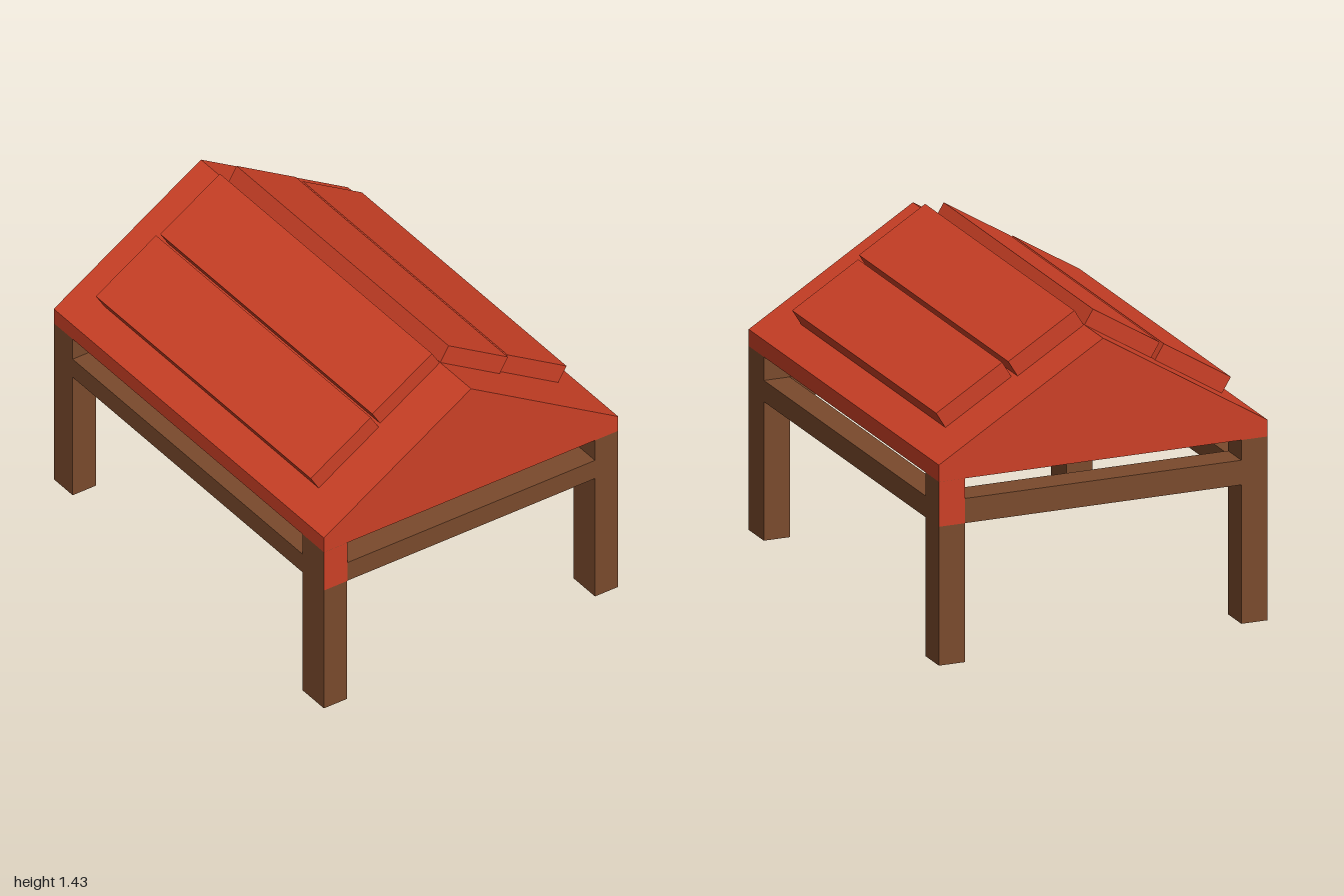
import * as THREE from 'three';

const HALF_W = 0.76, POST_W = 0.12;
const BEAM_Y = 0.62, ROOF_Y = 0.82, EAVE_Y = 0.895, RIDGE_Y = 1.36;

export function createModel() {
  const group = new THREE.Group();
  const wood = new THREE.MeshStandardMaterial({ color: 0x7a4a2c, flatShading: true });
  const red = new THREE.MeshStandardMaterial({ color: 0xcc4026, flatShading: true });

  // Box given by its extents on each axis
  function box(name, material, [x0, x1], [y0, y1], [z0, z1]) {
    const mesh = new THREE.Mesh(new THREE.BoxGeometry(x1 - x0, y1 - y0, z1 - z0), material);
    mesh.position.set((x0 + x1) / 2, (y0 + y1) / 2, (z0 + z1) / 2);
    mesh.name = name;
    group.add(mesh);
    return mesh;
  }

  // Posts and side beams, flush with the outer faces
  const frontZ = [0.84, 1], backZ = [-1, -0.86];
  const inner = HALF_W - POST_W;
  for (const [side, x] of [['left', [inner, HALF_W]], ['right', [-HALF_W, -inner]]]) {
    box(side + 'FrontPost', wood, x, [0, ROOF_Y], frontZ);
    box(side + 'BackPost', wood, x, [0, ROOF_Y], backZ);
    box(side + 'Beam', wood, x, [BEAM_Y, 0.715], [backZ[1], frontZ[0]]);
  }

  // Cross beams; the back one is slightly taller
  box('frontBeam', wood, [-inner, inner], [BEAM_Y, 0.715], frontZ);
  box('backBeam', wood, [-inner, inner], [BEAM_Y, 0.73], backZ);

  // Painted upper faces on two opposite posts
  const paint = new THREE.PlaneGeometry(POST_W, ROOF_Y - BEAM_Y);
  for (const end of [1, -1]) {
    const panel = new THREE.Mesh(paint, red);
    panel.name = end > 0 ? 'frontPostPaint' : 'backPostPaint';
    panel.position.set(-end * (HALF_W - POST_W / 2), (BEAM_Y + ROOF_Y) / 2, end * 1.001);
    panel.rotation.y = end > 0 ? 0 : Math.PI;
    group.add(panel);
  }

  // Solid gabled roof
  const profile = new THREE.Shape([
    new THREE.Vector2(-HALF_W, ROOF_Y),
    new THREE.Vector2(HALF_W, ROOF_Y),
    new THREE.Vector2(HALF_W, EAVE_Y),
    new THREE.Vector2(0, RIDGE_Y),
    new THREE.Vector2(-HALF_W, EAVE_Y),
  ]);
  const roofGeometry = new THREE.ExtrudeGeometry(profile, { depth: 2, bevelEnabled: false });
  roofGeometry.translate(0, 0, -1);
  const roof = new THREE.Mesh(roofGeometry, red);
  roof.name = 'roof';
  group.add(roof);

  // Roof slabs: side, distance range down the slope, thickness, z range
  const slope = Math.atan2(RIDGE_Y - EAVE_Y, HALF_W);
  const slabs = [
    ['leftUpperSlab', 1, 0.002, 0.361, 0.082, -0.80, 0.77],
    ['leftLowerSlab', 1, 0.379, 0.737, 0.081, -0.77, 0.745],
    ['rightUpperSlab', -1, 0.002, 0.363, 0.076, -0.80, 0.77],
    ['rightLowerSlab', -1, 0.379, 0.743, 0.079, -0.81, 0.78],
  ];
  for (const [name, side, s0, s1, thick, z0, z1] of slabs) {
    const slab = box(name, red, [s0, s1], [0, thick], [z0, z1]);
    const s = (s0 + s1) / 2, t = thick / 2;
    slab.position.x = side * (s * Math.cos(slope) + t * Math.sin(slope));
    slab.position.y = RIDGE_Y - s * Math.sin(slope) + t * Math.cos(slope);
    slab.rotation.z = -side * slope;
  }

  return group;
}
